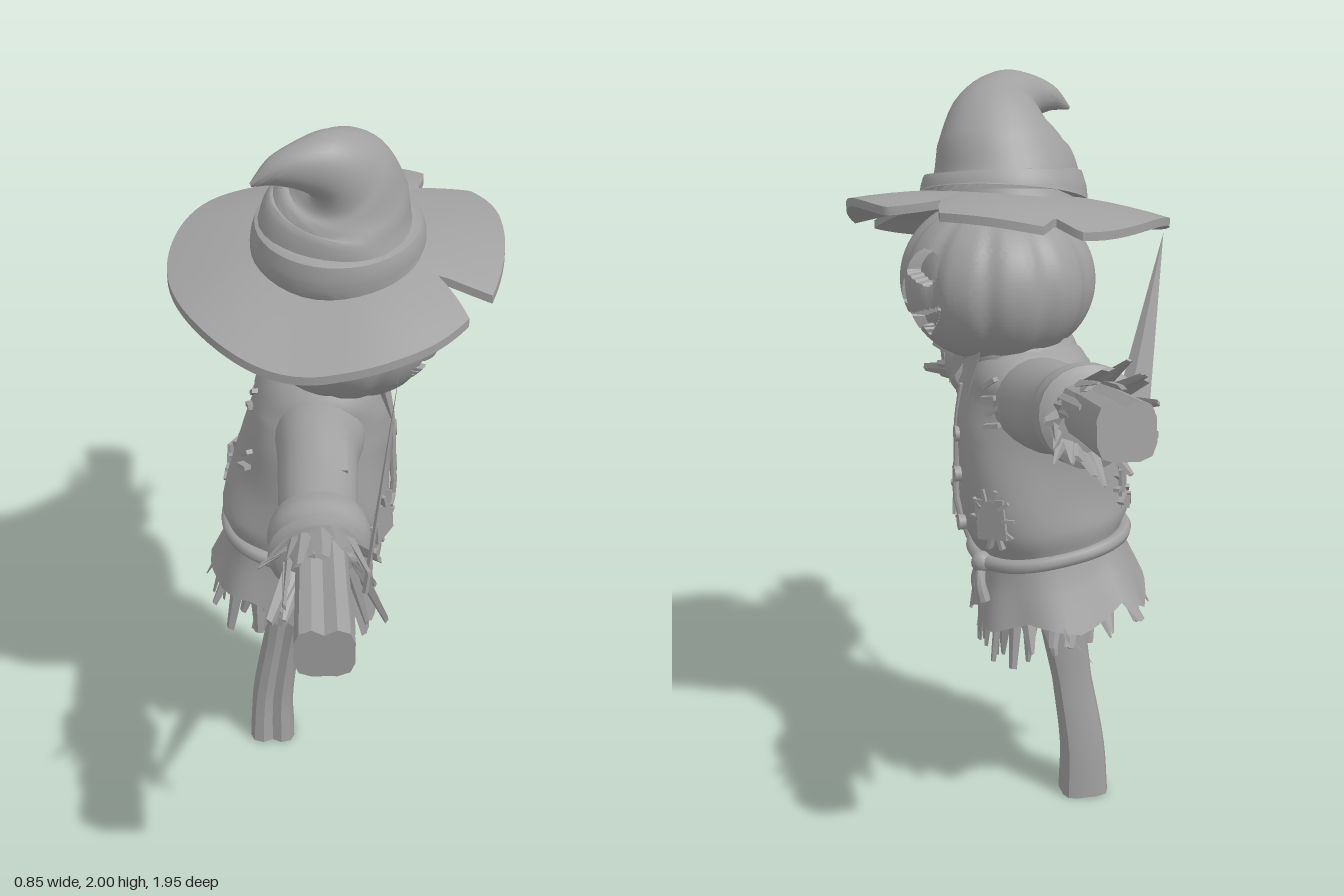
import * as THREE from 'three';
import { mergeGeometries, toCreasedNormals } from 'three/addons/utils/BufferGeometryUtils.js';

const V = (x, y, z) => new THREE.Vector3(x, y, z);
const lerp = THREE.MathUtils.lerp;

// Piecewise linear lookup in rows sorted by their first number
function lookup(rows, k) {
  let i = 0;
  while (i < rows.length - 2 && rows[i + 1][0] < k) i++;
  const t = THREE.MathUtils.clamp((k - rows[i][0]) / (rows[i + 1][0] - rows[i][0]), 0, 1);
  return rows[i].map((v, c) => lerp(v, rows[i + 1][c], t));
}

// Skin over rings of points, optionally capped at both ends
function loft(rings, capped = false, crease = 0.7) {
  const n = rings[0].length, pos = rings.flat().flatMap(p => [p.x, p.y, p.z]), idx = [];
  for (let i = 0; i < rings.length - 1; i++) for (let j = 0; j < n; j++) {
    const a = i * n + j, b = i * n + (j + 1) % n;
    idx.push(a, b, a + n, b, b + n, a + n);
  }
  if (capped) [0, rings.length - 1].forEach((r, end) => {
    const c = rings[r].reduce((s, p) => s.add(p), V(0, 0, 0)).divideScalar(n);
    const k = pos.length / 3;
    pos.push(c.x, c.y, c.z);
    for (let j = 0; j < n; j++) {
      const a = r * n + j, b = r * n + (j + 1) % n;
      idx.push(...(end ? [a, b, k] : [b, a, k]));
    }
  });
  const g = new THREE.BufferGeometry();
  g.setAttribute('position', new THREE.Float32BufferAttribute(pos, 3));
  g.setIndex(idx);
  return toCreasedNormals(g, crease);
}

// Tube with changing radius; points are [x, y, z, radius], shape(angle, t) scales the section
function sweep(pts, sides, steps, ref, shape = () => 1) {
  const curve = new THREE.CatmullRomCurve3(pts.map(p => V(p[0], p[1], p[2])));
  const rings = [];
  for (let i = 0; i <= steps; i++) {
    const t = i / steps, c = curve.getPoint(t), d = curve.getTangent(t);
    const u = ref.clone().cross(d).normalize(), v = d.clone().cross(u);
    const f = t * (pts.length - 1), k = Math.min(Math.floor(f), pts.length - 2);
    const r = lerp(pts[k][3], pts[k + 1][3], f - k);
    rings.push(Array.from({ length: sides }, (_, j) => {
      const a = j / sides * Math.PI * 2, s = r * shape(a, t);
      return c.clone().addScaledVector(u, Math.cos(a) * s).addScaledVector(v, Math.sin(a) * s);
    }));
  }
  return loft(rings, true);
}

// Flat tapering blade from a wide base to a point or a blunt tip
function blade(from, to, width, out, flat = 0.25, tip = 0) {
  const d = to.clone().sub(from), y = d.clone().normalize();
  const x = y.clone().cross(out).normalize(), z = x.clone().cross(y);
  const g = new THREE.CylinderGeometry(tip * width / 2, width / 2, d.length(), 4).toNonIndexed();
  g.scale(1, 1, flat);
  g.computeVertexNormals();
  return g.applyMatrix4(new THREE.Matrix4().makeBasis(x, y, z)
    .setPosition(from.clone().add(to).multiplyScalar(0.5)));
}

// One geometry from several, keeping only positions and normals
function merge(parts) {
  return mergeGeometries(parts.map(p => {
    const g = p.index ? p.toNonIndexed() : p;
    g.deleteAttribute('uv');
    return g;
  }));
}

let seed = 7;
const rnd = (a, b) => { seed = (seed * 16807) % 2147483647; return a + (b - a) * seed / 2147483647; };

// Clothing sections: y, centre x, centre z, half depth, half width
const shirt = [[0.57, -0.12, -0.06, 0.24, 0.25], [0.76, -0.095, -0.03, 0.19, 0.2], [0.83, -0.085, -0.03, 0.225, 0.22],
  [0.9, -0.07, -0.025, 0.225, 0.22], [1.1, -0.05, -0.02, 0.2, 0.212], [1.24, -0.04, -0.02, 0.17, 0.2],
  [1.3, -0.035, -0.015, 0.14, 0.16], [1.33, -0.03, 0, 0.08, 0.1]];
function cloth(y, a, grow = 0) {
  const [, cx, cz, rx, rz] = lookup(shirt, y);
  const p = v => Math.sign(v) * Math.abs(v) ** 0.85;
  const x = cx + (rx + grow) * p(Math.sin(a));
  const tilt = THREE.MathUtils.clamp((1 - y) / 0.24, 0, 1) * -0.18;
  return V(x, y + tilt * (x + 0.1), cz + (rz + grow) * p(Math.cos(a)));
}
const ringOf = (n, f) => Array.from({ length: n }, (_, j) => f(j / n * Math.PI * 2, j));

// Carved face: 1 inside eyes, nose and mouth
function carved(s, t) {
  for (const side of [-1, 1]) {
    const e = s - side * 0.11, h = t - 0.035;
    if ((e / 0.052) ** 2 + (h / 0.055) ** 2 < 1 && h > -0.02 - side * e * 0.35) return 1;
  }
  if (t > -0.055 && t < 0.01 && Math.abs(s) < (0.01 - t) * 0.55) return 1;
  const mid = -0.128 + 2.1 * s * s, half = 0.042 * (1 - (s / 0.19) ** 2);
  if (Math.abs(t - mid) > half || Math.abs(s) > 0.19) return 0;
  if (t > mid && Math.abs(s - 0.03) < 0.022) return 0;
  return t < mid && Math.abs(Math.abs(s) - 0.08) < 0.022 ? 0 : 1;
}

// Brim outline: angle in degrees from the front, radius
const brimEdge = [[0, 0.415], [32, 0.425], [48, 0.424], [56, 0.29], [60, 0.435], [91, 0.42], [121, 0.415], [134, 0.3],
  [144, 0.41], [180, 0.42], [187, 0.357], [193, 0.43], [270, 0.43], [360, 0.415]];

export function createModel() {
  const group = new THREE.Group();
  const grey = new THREE.MeshStandardMaterial({ color: 0xa0a0a0, side: THREE.DoubleSide });
  grey.name = 'plain grey';
  const add = (name, geo) => {
    const m = new THREE.Mesh(Array.isArray(geo) ? merge(geo) : geo, grey);
    m.name = name;
    group.add(m);
  };
  const X = V(1, 0, 0), Y = V(0, 1, 0), Z = V(0, 0, 1);

  // Wooden post and crossbar
  const wood = a => 1 + 0.09 * Math.cos(4 * a + 3.14) - (Math.abs(a - 1.57) < 0.2 ? 0.2 : 0);
  add('post', sweep([[-0.187, 0.008, -0.085, 0.07], [-0.183, 0.15, -0.085, 0.063], [-0.155, 0.35, -0.07, 0.056],
    [-0.125, 0.55, -0.055, 0.066], [-0.105, 0.78, -0.04, 0.066]], 16, 16, Z, wood));
  add('crossbar', sweep([[-0.05, 1.335, -0.965, 0.075], [-0.05, 1.295, -0.65, 0.068], [-0.05, 1.17, 0, 0.065],
    [-0.05, 1.08, 0.65, 0.068], [-0.05, 1.04, 0.965, 0.077]], 16, 16, Y, wood));

  // Shirt body and ragged skirt
  const bodyRings = [];
  for (let y = 0.755; y < 1.335; y += 0.023) bodyRings.push(ringOf(48, a =>
    cloth(y, a, 0.006 * Math.sin(3 * a + y * 14) * (y < 1.2 ? 1 : 0))));
  add('shirt', loft(bodyRings, true, 1.2));
  add('skirt', loft([0, 0.25, 0.5, 0.75, 1].map(t => ringOf(72, (a, j) => {
    const hem = 0.615 - 0.045 * Math.abs((j % 12) / 6 - 1) * (1 + 0.5 * Math.sin(a * 2));
    return cloth(lerp(hem, 0.77, t), a, 0.008 * Math.sin(7 * a) * (1 - t));
  })), false, 1));
  add('skirtStraw', Array.from({ length: 40 }, (_, i) => {
    const a = i / 40 * Math.PI * 2 + rnd(-0.06, 0.06);
    const top = cloth(0.64, a, -0.025), tip = cloth(rnd(0.48, 0.55), a + rnd(-0.12, 0.12), rnd(-0.04, 0.01));
    return blade(top, tip, rnd(0.04, 0.065), V(Math.sin(a), 0.1, Math.cos(a)), 0.4, rnd(0.1, 0.6));
  }));

  // Rope belt with knot
  const rope = new THREE.CatmullRomCurve3(ringOf(40, a => cloth(0.765, a, 0.01)), true);
  add('belt', new THREE.TubeGeometry(rope, 80, 0.02, 8, true));
  const knot = cloth(0.765, 1.9, 0.02);
  add('beltKnot', [new THREE.SphereGeometry(0.03, 12, 8).translate(knot.x, knot.y, knot.z),
    ...[-0.025, 0.03].map(o => sweep([[knot.x, knot.y, knot.z, 0.013], [knot.x + 0.01, knot.y - 0.05, knot.z + o, 0.015],
      [knot.x, knot.y - 0.1, knot.z + o * 1.3, 0.018]], 8, 6, Z))]);

  // Sleeves, cuffs and straw at the wrists
  const arms = [
    ['left', 1, [[-0.04, 1.15, 0.08, 0.12], [-0.05, 1.145, 0.2, 0.112], [-0.055, 1.12, 0.36, 0.098], [-0.055, 1.09, 0.58, 0.095]], -0.13],
    ['right', -1, [[-0.04, 1.17, -0.1, 0.13], [-0.045, 1.19, -0.24, 0.122], [-0.052, 1.225, -0.4, 0.106], [-0.055, 1.265, -0.58, 0.1]], 0.17]];
  for (const [side, dir, path, slope] of arms) {
    add(side + 'Sleeve', sweep(path, 24, 15, Y, (a, t) => 1 + 0.03 * Math.sin(2 * a + t * 11)));
    const [cx, cy, cz] = path[3];
    const at = (d, r) => [cx, cy + slope * d, cz + dir * d, r];
    add(side + 'Cuff', sweep([at(-0.07, 0.095), at(-0.06, 0.12), at(-0.02, 0.128), at(0.02, 0.122),
      at(0.045, 0.126), at(0.058, 0.105)], 24, 15, Y, a => 1 + 0.02 * Math.sin(3 * a)));
    add(side + 'WristStraw', Array.from({ length: 28 }, (_, i) => {
      const a = i / 28 * Math.PI * 2 + rnd(-0.1, 0.1), out = V(Math.cos(a), Math.sin(a), 0);
      const [bx, by, bz] = at(0.04, 0), [tx, ty, tz] = at(rnd(0.13, 0.24), 0);
      return blade(V(bx, by, bz).addScaledVector(out, rnd(0.07, 0.09)),
        V(tx, ty, tz).addScaledVector(out, rnd(0.08, 0.16)), rnd(0.04, 0.06), out, 0.4, rnd(0.1, 0.7));
    }));
  }

  // Collar, placket and buttons
  add('collar', [blade(V(0.115, 1.295, 0.09), V(0.15, 1.165, 0.125), 0.16, X),
    blade(V(0.115, 1.295, -0.06), V(0.15, 1.165, -0.1), 0.16, X),
    new THREE.TorusGeometry(0.13, 0.03, 8, 32).rotateX(Math.PI / 2).translate(-0.015, 1.295, 0.005)]);
  add('placket', sweep([0.8, 0.9, 1, 1.1, 1.2].map(y => {
    const p = cloth(y, 1.57, 0.003);
    return [p.x, p.y, p.z + 0.01, 0.009];
  }), 8, 12, Z));
  add('buttons', [0.85, 0.965, 1.07].map(y => {
    const p = cloth(y, 1.62, 0.006);
    return new THREE.CylinderGeometry(0.02, 0.022, 0.02, 12).rotateZ(Math.PI / 2).translate(p.x, p.y, p.z);
  }));

  // Patches and stitches lying on the cloth: angle, y, width, height, roll, depth
  const onCloth = (a, y, w, h, roll, d) => {
    const p = cloth(y, a, 0.003);
    return new THREE.BoxGeometry(w, h, d).rotateZ(roll).rotateY(a).translate(p.x, p.y, p.z);
  };
  const patches = [[1.05, 0.88], [2.35, 0.89], [4.3, 0.92]];
  add('patches', patches.map(([a, y]) => onCloth(a, y, 0.09, 0.11, 0.12, 0.009)));
  const stitches = [];
  for (const [a, y] of patches) for (let i = 0; i < 10; i++) {
    const q = i / 10 * Math.PI * 2;
    stitches.push(onCloth(a + 0.25 * Math.cos(q), y + 0.06 * Math.sin(q), 0.035, 0.01, q, 0.02));
  }
  for (const [a, y] of [[2.3, 1.22], [2.4, 1.15], [4.9, 1.2], [5.2, 1.05], [4, 1.1], [3.8, 1.2]])
    for (const o of [-0.02, 0.02]) stitches.push(onCloth(a, y + o, 0.045, 0.012, 0.4 + o * 10, 0.02));
  for (const [z, y] of [[0.27, 1.2], [0.32, 1.2], [0.37, 1.19]])
    stitches.push(new THREE.BoxGeometry(0.02, 0.03, 0.05).rotateX(0.5).translate(0.01, y, z));
  add('stitches', stitches);

  // Ribbed pumpkin head with carved face
  const head = [];
  for (let i = 0; i <= 120; i++) {
    const th = -Math.PI / 2 + i / 120 * Math.PI;
    head.push(ringOf(190, f => {
      const a = f - 0.6 * Math.sin(f), rib = 1 - 0.045 * Math.abs(Math.cos(5 * a)) ** 6;
      const c = Math.max(Math.cos(th), 0) ** 0.9 * rib;
      const y = 0.215 * Math.sin(th), z = -0.275 * c * Math.sin(a);
      const s = -z + 0.01, cut = Math.cos(a) > 0.1 ? carved(s, y - 0.13 * s) : 0;
      const k = 1 - 0.14 * cut;
      return V(0.03 + 0.26 * c * Math.cos(a) * k, 1.47 + y, 0.045 + z * lerp(1, k, 0.3));
    }));
  }
  add('pumpkinHead', loft(head, false, 0.6));

  // Hat brim, drooping and notched
  const brimRing = (t, lift) => ringOf(240, a => {
    const r = lerp(0.16, lookup(brimEdge, a * 180 / Math.PI)[1], t);
    const x = r * Math.sin(a), z = r * Math.cos(a);
    const droop = (x * x * 0.05 + z * z * 0.11) / 0.176;
    return V(x, 1.695 + 0.09 * x - 0.22 * (z - 0.03) - droop + 0.008 * Math.sin(5 * a) * t + lift, z + 0.06);
  });
  const span = [0, 0.2, 0.4, 0.6, 0.8, 1];
  add('hatBrim', loft([...span.map(t => brimRing(t, -0.022)), ...span.slice().reverse().map(t => brimRing(t, 0))]));

  // Hat crown bending over to its tip, and band
  add('hatCrown', sweep([[0.005, 1.66, 0.08, 0.215], [0.005, 1.74, 0.095, 0.197], [0.012, 1.815, 0.112, 0.168],
    [0.004, 1.875, 0.14, 0.132], [-0.028, 1.915, 0.178, 0.092], [-0.085, 1.928, 0.208, 0.064],
    [-0.15, 1.92, 0.227, 0.038], [-0.21, 1.89, 0.24, 0.005]], 32, 35, Z,
  (a, t) => 1 + 0.025 * Math.sin(3 * a + t * 9)));
  add('hatBand', sweep([[0.006, 1.675, 0.083, 0.19], [0.005, 1.68, 0.085, 0.224], [0.004, 1.71, 0.092, 0.22],
    [0.003, 1.742, 0.099, 0.209], [0.003, 1.747, 0.1, 0.18]], 40, 12, Z));

  // Long loose slivers
  add('slivers', [blade(V(0.05, 1.06, 0.75), V(0.14, 1.51, 0.475), 0.06, X),
    blade(V(-0.14, 1.3, -0.68), V(-0.36, 1.62, -0.18), 0.1, V(0.5, 1, 0)),
    blade(V(-0.09, 0.59, 0.14), V(-0.04, 0.89, 0.745), 0.1, X),
    blade(V(-0.07, 0.59, -0.33), V(-0.2, 0.41, -0.14), 0.035, X)]);
  return group;
}
